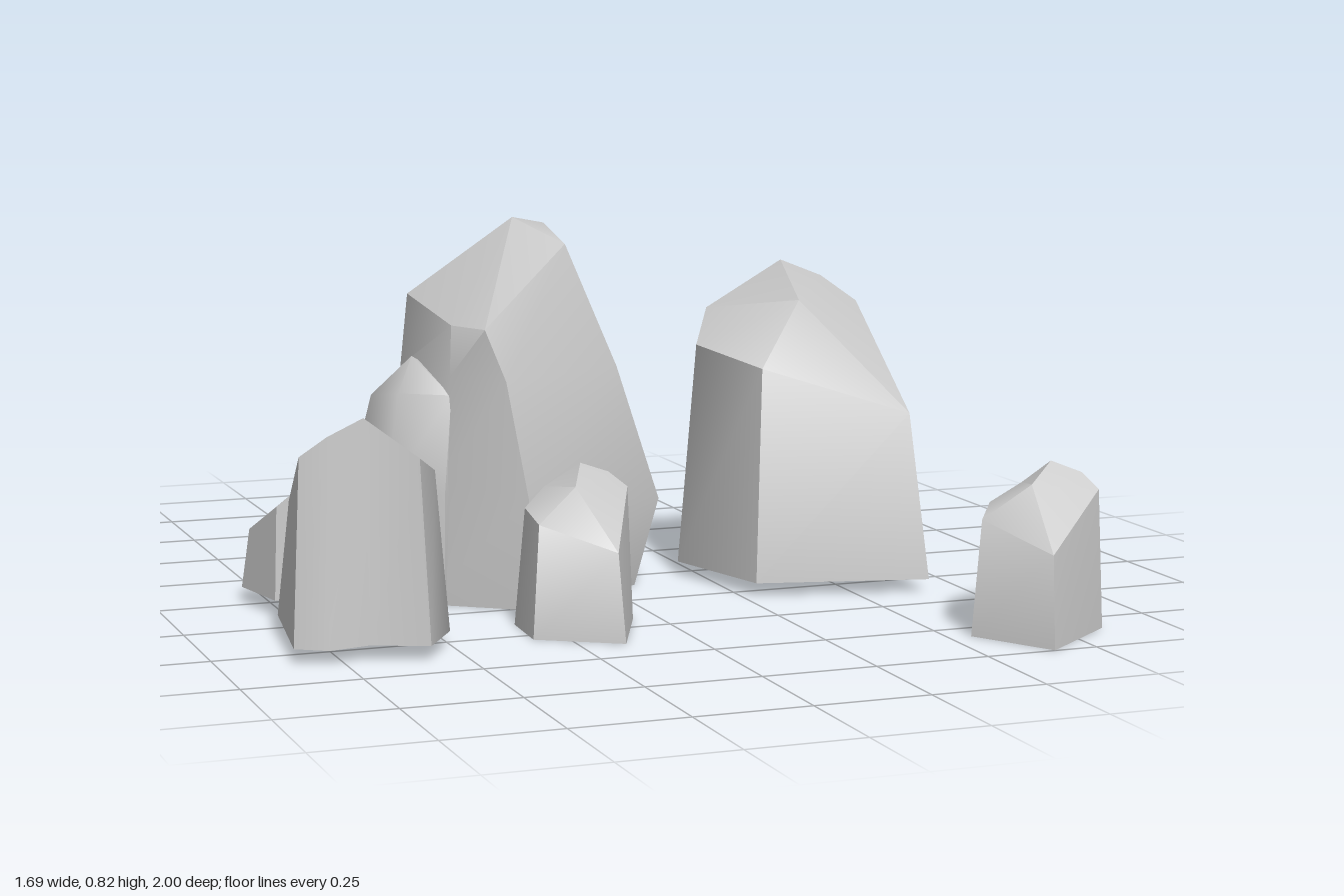
import * as THREE from 'three';
import { toCreasedNormals } from 'three/addons/utils/BufferGeometryUtils.js';

// Skins a stone from rings of [x, y, z] corners (clockwise from above, bottom first), closed by a peak.
function stoneGeometry(rings, peak) {
  const pos = [];
  const tri = (a, b, c) => pos.push(...a, ...b, ...c);
  const n = rings[0].length;
  const base = [peak[0], rings[0][0][1], peak[2]];
  for (let i = 0; i < n; i++) {
    const j = (i + 1) % n;
    for (let k = 0; k < rings.length - 1; k++) {
      const lo = rings[k], up = rings[k + 1];
      tri(lo[i], up[i], lo[j]);
      tri(lo[j], up[i], up[j]);
    }
    const top = rings[rings.length - 1];
    tri(top[i], peak, top[j]);
    tri(base, rings[0][i], rings[0][j]);
  }
  const geo = new THREE.BufferGeometry();
  geo.setAttribute('position', new THREE.Float32BufferAttribute(pos, 3));
  return geo;
}

export function createModel() {
  const group = new THREE.Group();
  const stone = new THREE.MeshStandardMaterial({ color: 0xc8c8c8 });
  stone.name = 'grey stone';

  const add = (name, geo) => {
    const mesh = new THREE.Mesh(geo, stone);
    mesh.name = name;
    group.add(mesh);
    return mesh;
  };

  // Central boulder
  add('centralBoulder', toCreasedNormals(stoneGeometry([
    [[0.03, 0, -0.33], [0.07, 0, -0.16], [0.07, 0, 0.1], [-0.24, 0, 0.27],
      [-0.44, 0, 0.13], [-0.5, 0, -0.08], [-0.38, 0, -0.26], [-0.18, 0, -0.34]],
    [[0.045, 0.25, -0.325], [0.11, 0.25, -0.165], [0.12, 0.2, 0.12], [-0.245, 0.25, 0.285],
      [-0.4, 0.28, 0.15], [-0.45, 0.3, -0.08], [-0.36, 0.3, -0.25], [-0.17, 0.3, -0.33]],
    [[0.02, 0.5, -0.3], [0.04, 0.5, -0.15], [0.03, 0.5, 0.09], [-0.28, 0.5, 0.24],
      [-0.37, 0.5, 0.12], [-0.42, 0.5, -0.09], [-0.34, 0.5, -0.23], [-0.16, 0.52, -0.3]],
    [[-0.045, 0.77, -0.23], [-0.08, 0.81, -0.09], [-0.08, 0.775, 0.055], [-0.315, 0.61, 0.2],
      [-0.36, 0.61, 0.1], [-0.4, 0.66, -0.1], [-0.32, 0.67, -0.2], [-0.14, 0.775, -0.245]],
  ], [-0.155, 0.825, -0.09]), 0.75));

  // Rounded shoulder fused to the boulder's side
  add('boulderShoulder', toCreasedNormals(stoneGeometry([
    [[-0.2, 0, 0], [-0.4, 0, 0.17], [-0.53, 0, 0.08], [-0.55, 0, -0.105], [-0.415, 0, -0.27], [-0.24, 0, -0.335]],
    [[-0.2, 0.25, 0], [-0.4, 0.25, 0.175], [-0.51, 0.25, 0.1], [-0.535, 0.25, -0.1], [-0.41, 0.25, -0.26], [-0.24, 0.25, -0.33]],
    [[-0.25, 0.43, 0], [-0.37, 0.46, 0.13], [-0.47, 0.46, 0.06], [-0.495, 0.44, -0.07], [-0.4, 0.43, -0.19], [-0.25, 0.36, -0.27]],
  ], [-0.415, 0.53, -0.02]), 1.2));

  // Notched standing stone, shared by all the surrounding rocks: [base x, base z, top x, top z, top y]
  const corners = [
    [0.31, -0.155, 0.335, -0.13, 0.595],
    [0.48, -0.09, 0.485, -0.045, 0.71],
    [0.615, -0.125, 0.605, -0.085, 0.665],
    [0.71, -0.07, 0.685, -0.06, 0.605],
    [0.66, 0.4, 0.63, 0.35, 0.4],
    [0.28, 0.31, 0.305, 0.275, 0.505],
    [0.205, 0.025, 0.25, 0.02, 0.53],
  ];
  const standing = toCreasedNormals(stoneGeometry([
    corners.map(([x, z]) => [x, 0.03, z]),
    corners.map(([, , x, z, y]) => [x, y, z]),
  ], [0.46, 0.635, 0.12]), 0.9);
  standing.translate(-0.463, -0.03, -0.165);

  // name, x, y, z, turn, scale
  const rocks = [
    ['largeLeftRock', 0.463, 0.03, 0.165, 0, 1],
    ['mediumRightRock', -0.672, 0.03, 0.425, -3.185, 0.68],
    ['frontSmallRock', -0.212, 0, 0.499, -0.314, 0.505],
    ['frontLeftSmallRock', 0.671, 0, 0.84, -0.803, 0.52],
    ['backSmallRock', 0.083, 0.065, -0.828, 1.326, 0.572],
    ['tinyRightRock', -0.716, 0.035, 0.036, -2.836, 0.355],
  ];
  for (const [name, x, y, z, turn, scale] of rocks) {
    const rock = add(name, standing);
    rock.position.set(x, y, z);
    rock.rotation.y = turn;
    rock.scale.setScalar(scale);
  }
  return group;
}
